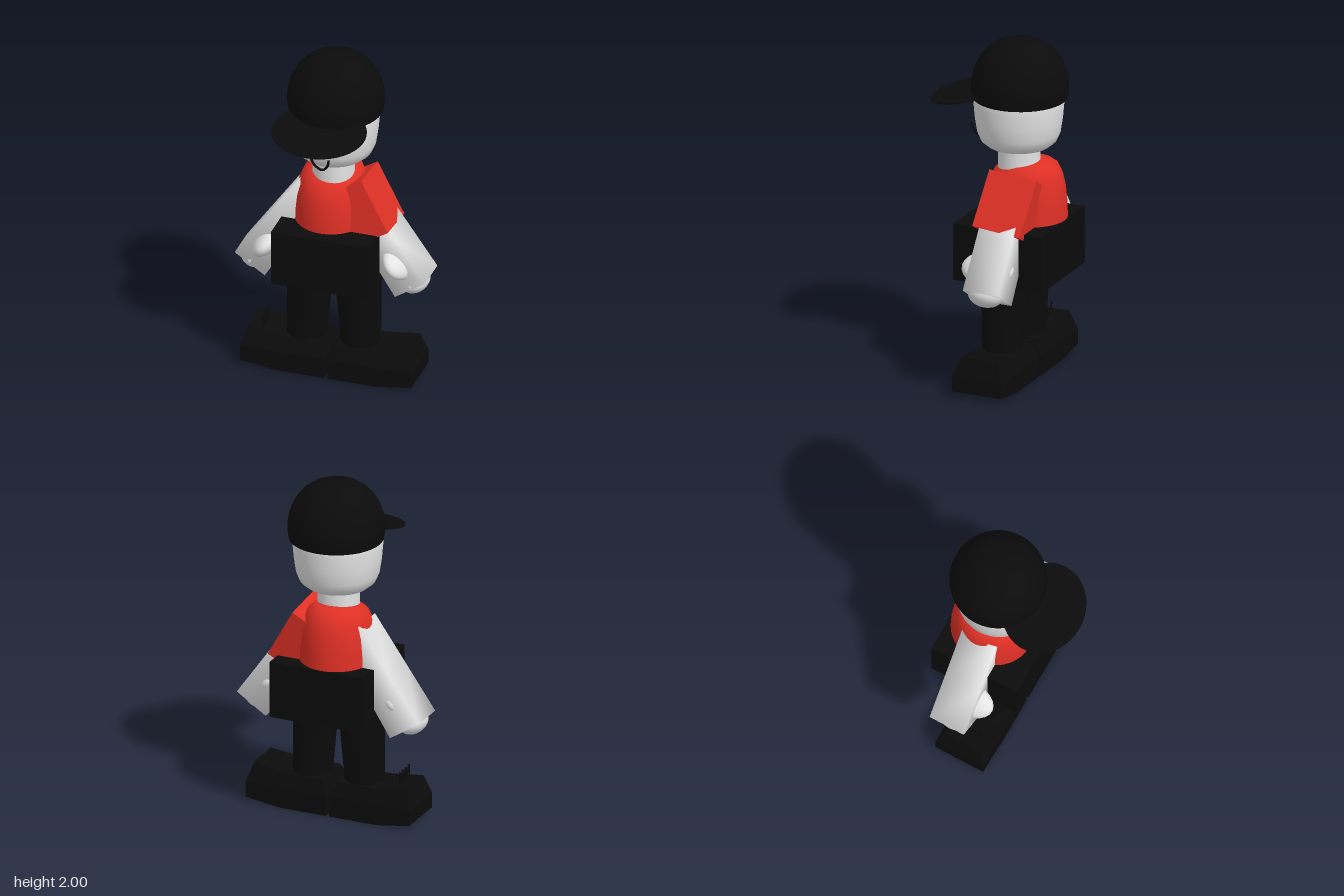
import * as THREE from 'three';
import { toCreasedNormals } from 'three/addons/utils/BufferGeometryUtils.js';

const paint = (name, color) => {
  const m = new THREE.MeshStandardMaterial({ color });
  m.name = name;
  return m;
};

// Move every vertex by a rule, then refresh the normals
function reshape(geo, rule) {
  const p = geo.attributes.position, v = new THREE.Vector3();
  for (let i = 0; i < p.count; i++) {
    rule(v.fromBufferAttribute(p, i));
    p.setXYZ(i, v.x, v.y, v.z);
  }
  geo.computeVertexNormals();
  return geo;
}

const lathe = (pts) =>
  toCreasedNormals(new THREE.LatheGeometry(pts.map(([r, y]) => new THREE.Vector2(r, y)), 40), 0.8);

// Four-sided limb through sections [outerX, outerY, innerX, innerY]
function limb(sections, side, zFront, zBack) {
  const pos = [], idx = [];
  const tri = (a, b, c) => (side < 0 ? idx.push(a, b, c) : idx.push(a, c, b));
  const quad = (a, b, c, d) => { tri(a, b, c); tri(a, c, d); };
  sections.forEach(([ox, oy, ix, iy], s) => {
    pos.push(side * ox, oy, zFront, side * ix, iy, zFront, side * ix, iy, zBack, side * ox, oy, zBack);
    if (s === 0) return;
    const a = (s - 1) * 4, b = s * 4;
    for (let k = 0; k < 4; k++) {
      const n = (k + 1) % 4;
      quad(a + k, a + n, b + n, b + k);
    }
  });
  const t = (sections.length - 1) * 4;
  quad(0, 3, 2, 1);
  quad(t, t + 1, t + 2, t + 3);
  const geo = new THREE.BufferGeometry();
  geo.setAttribute('position', new THREE.Float32BufferAttribute(pos, 3));
  geo.setIndex(idx);
  geo.computeVertexNormals();
  return geo;
}

export function createModel() {
  const model = new THREE.Group();
  const white = paint('white', 0xe4e4e4);
  const red = paint('red', 0xdf3025);
  const black = paint('black', 0x0b0b0b);

  const add = (name, geo, mat, x = 0, y = 0, z = 0) => {
    const mesh = new THREE.Mesh(geo, mat);
    mesh.name = name;
    mesh.position.set(x, y, z);
    model.add(mesh);
    return mesh;
  };

  // Head and neck
  add('head', lathe([[0, 1.355], [0.13, 1.356], [0.18, 1.37], [0.215, 1.4], [0.236, 1.45], [0.248, 1.53],
    [0.256, 1.62], [0.254, 1.7], [0.2, 1.82], [0, 1.9]]), white, 0, 0, -0.115);
  add('neck', new THREE.CylinderGeometry(0.12, 0.12, 0.2, 32), white, -0.005, 1.29, -0.115);

  // Cap dome and tilted bill
  add('capDome', lathe([[0, 1.655], [0.268, 1.655], [0.275, 1.7], [0.275, 1.745], [0.268, 1.79], [0.252, 1.84],
    [0.225, 1.89], [0.187, 1.934], [0.14, 1.968], [0.09, 1.988], [0.04, 1.998], [0, 2]]), black, 0.005, 0, -0.125);
  const bill = new THREE.CylinderGeometry(1, 1, 0.005, 40);
  add('capBill', toCreasedNormals(reshape(bill, (v) => {
    v.x = 0.005 + v.x * 0.272;
    v.z = 0.17 + v.z * 0.225;
    v.y += 1.655 - 0.2 * (v.z - 0.15);
  }), 0.8), black);

  // Smile
  const smile = new THREE.CatmullRomCurve3([[-0.053, 1.475, 0.155], [-0.036, 1.415, 0.135], [0.002, 1.378, 0.118],
    [0.04, 1.415, 0.135], [0.057, 1.475, 0.155]].map((p) => new THREE.Vector3(...p)));
  add('smile', new THREE.TubeGeometry(smile, 30, 0.007, 8), black);

  // Torso: oval dome leaning up towards the back
  const torso = new THREE.LatheGeometry([[0, 0.65], [1, 0.65], [1, 0.94], [0.985, 1.03], [0.95, 1.11], [0.88, 1.18],
    [0.77, 1.235], [0.6, 1.265], [0, 1.275]].map(([r, y]) => new THREE.Vector2(r, y)), 40);
  add('torso', toCreasedNormals(reshape(torso, (v) => {
    const top = Math.max(0, (v.y - 0.95) / 0.32);
    v.y -= 0.03 * v.z * top;
    v.x = -0.02 + v.x * 0.216;
    v.z = -0.152 + v.z * 0.237;
  }), 0.9), red);
  add('hips', new THREE.BoxGeometry(0.58, 0.335, 0.545), black, 0.004, 0.777, -0.118);

  // Sleeve on the left shoulder only
  const sleeve = add('leftSleeve', new THREE.BoxGeometry(0.24, 0.335, 0.295), red, 0.168, 1.044, -0.147);
  sleeve.rotation.set(-0.1, 0, 0.52);

  for (const side of [-1, 1]) {
    const label = side < 0 ? 'right' : 'left';
    const shift = 0.005;

    // Arm, hand and thumb
    add(label + 'Arm', limb([[0.563, 0.663, 0.385, 0.546], [0.385, 0.915, 0.22, 0.81], [0.19, 1.19, 0.07, 1.05]],
      side, -0.031, -0.25), white);
    const hand = add(label + 'Hand', new THREE.SphereGeometry(1, 24, 16), white, side * 0.475, 0.622, -0.132);
    hand.scale.set(0.085, 0.07, 0.103);
    hand.rotation.z = side * 0.55;
    const thumb = add(label + 'Thumb', new THREE.SphereGeometry(1, 24, 16), white, side * 0.385, 0.743, -0.102);
    thumb.scale.set(0.105, 0.062, 0.157);
    thumb.rotation.z = -side * 0.8;

    // Tapered leg, straight on its outer side
    const leg = new THREE.CylinderGeometry(0.133, 0.113, 0.46, 24);
    add(label + 'Leg', reshape(leg, (v) => { v.x -= side * v.y * 0.045; }), black,
      side * 0.15 + shift, 0.42, -0.091);

    // Shoe: straight sole block and an upper narrowing to the top
    const parts = {
      Sole: [[0.011, 0], [0.303, 0], [0.507, 0.03], [0.507, 0.12], [0.011, 0.12]],
      Upper: [[0.011, 0.12], [0.507, 0.12], [0.472, 0.233], [0.281, 0.205], [0.046, 0.205]],
    };
    for (const [part, pts] of Object.entries(parts)) {
      const shape = new THREE.Shape(pts.map(([x, y]) => new THREE.Vector2(side * x, y)));
      const geo = new THREE.ExtrudeGeometry(shape, { depth: 0.305, bevelEnabled: false });
      geo.translate(0, 0, -0.1525);
      reshape(geo, (v) => { v.z *= 1 - Math.max(0, v.y - 0.12) * 2.3; });
      add(label + 'Shoe' + part, geo, black, shift, 0, -0.0925);
    }
  }

  // Loose lace zigzagging on the right shoe
  const lace = [];
  for (let i = 0; i < 8; i++) lace.push(new THREE.Vector3(-0.385 - (i % 2) * 0.008, i % 2 ? 0.3 : 0.215, 0.005 - i * 0.02));
  add('lace', new THREE.TubeGeometry(new THREE.CatmullRomCurve3(lace), 60, 0.005, 6), black);

  return model;
}
